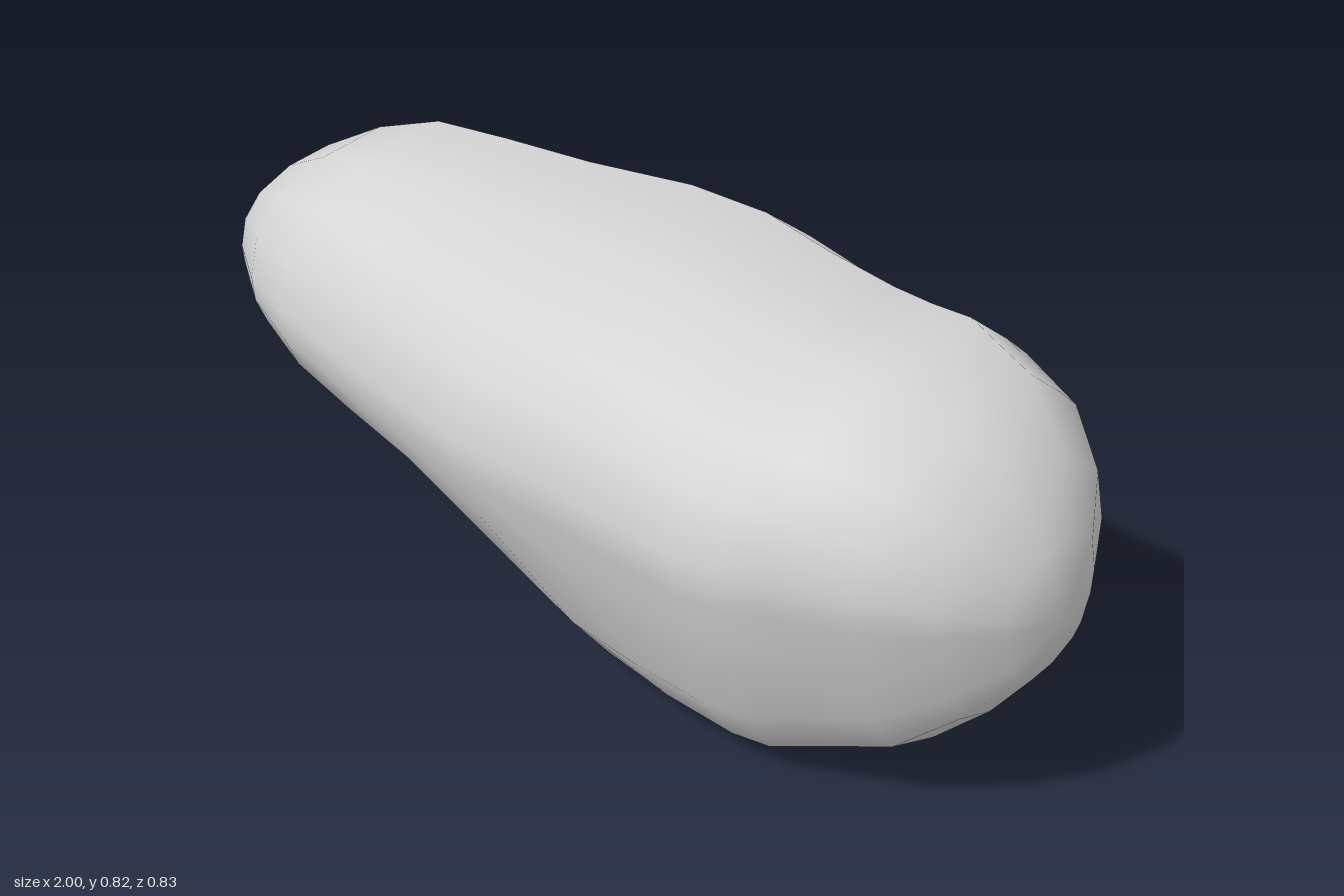
import * as THREE from 'three';

// Stations along the stone: x, yBottom, yTop, zBack, zFront
const STATIONS = [
  [-0.96, 0.41, 0.56, -0.06, 0.06],
  [-0.85, 0.33, 0.67, -0.12, 0.21],
  [-0.70, 0.255, 0.75, -0.18, 0.30],
  [-0.55, 0.195, 0.80, -0.235, 0.35],
  [-0.40, 0.145, 0.80, -0.29, 0.36],
  [-0.20, 0.105, 0.805, -0.34, 0.385],
  [0.02, 0.06, 0.815, -0.415, 0.415],
  [0.20, 0.02, 0.82, -0.41, 0.405],
  [0.35, 0.01, 0.80, -0.395, 0.395],
  [0.50, 0.0, 0.785, -0.385, 0.38],
  [0.58, 0.012, 0.783, -0.38, 0.37],
  [0.66, 0.05, 0.785, -0.375, 0.35],
  [0.80, 0.11, 0.74, -0.32, 0.285],
  [0.90, 0.21, 0.65, -0.24, 0.21],
  [0.965, 0.30, 0.55, -0.13, 0.11],
];

// Cross-sections (u across from back to front, v upward) of the two ends
const BLUNT = [[0.22, 0], [0.59, 0.065], [0.79, 0.2], [0.9, 0.4], [0.97, 0.52], [1, 0.62], [0.92, 0.76],
  [0.74, 0.87], [0.2, 0.955], [-0.4, 1], [-0.7, 0.89], [-0.87, 0.82], [-1, 0.58], [-0.97, 0.4],
  [-0.81, 0.2], [-0.65, 0.12], [-0.22, 0.025]];
const TAIL = [[-0.4, 0], [0.1, 0.1], [0.6, 0.25], [0.88, 0.36], [0.98, 0.47], [1, 0.57], [0.92, 0.73],
  [0.68, 0.86], [0.2, 0.96], [-0.4, 1], [-0.65, 0.93], [-0.82, 0.82], [-1, 0.56], [-0.98, 0.4],
  [-0.9, 0.2], [-0.78, 0.07], [-0.6, 0.015]];

function stoneGeometry() {
  const n = BLUNT.length;
  const positions = [];
  const index = [];
  for (const [x, y0, y1, z0, z1] of STATIONS) {
    const t = THREE.MathUtils.smoothstep(x, -0.4, 0.3);
    for (let j = 0; j < n; j++) {
      const u = THREE.MathUtils.lerp(TAIL[j][0], BLUNT[j][0], t);
      const v = THREE.MathUtils.lerp(TAIL[j][1], BLUNT[j][1], t);
      positions.push(x, y0 + v * (y1 - y0), (z0 + z1) / 2 + u * (z1 - z0) / 2);
    }
  }
  // Skin between neighbouring sections
  const last = STATIONS.length - 1;
  for (let i = 0; i < last; i++) {
    for (let j = 0; j < n; j++) {
      const k = (j + 1) % n;
      const a = i * n + j, b = a + n, c = i * n + k, d = c + n;
      index.push(a, b, c, b, d, c);
    }
  }
  // Closing points at both ends
  const tail = positions.length / 3;
  positions.push(-1, 0.43, 0, 1, 0.42, 0);
  for (let j = 0; j < n; j++) {
    const k = (j + 1) % n;
    index.push(tail, j, k, tail + 1, last * n + k, last * n + j);
  }
  const geometry = new THREE.BufferGeometry();
  geometry.setAttribute('position', new THREE.Float32BufferAttribute(positions, 3));
  geometry.setIndex(index);
  geometry.computeVertexNormals();
  return geometry;
}

export function createModel() {
  const group = new THREE.Group();
  group.name = 'rock';
  const stoneGrey = new THREE.MeshStandardMaterial({ color: 0xd4d4d4 });
  stoneGrey.name = 'stoneGrey';
  const stone = new THREE.Mesh(stoneGeometry(), stoneGrey);
  stone.name = 'stone';
  group.add(stone);
  return group;
}
